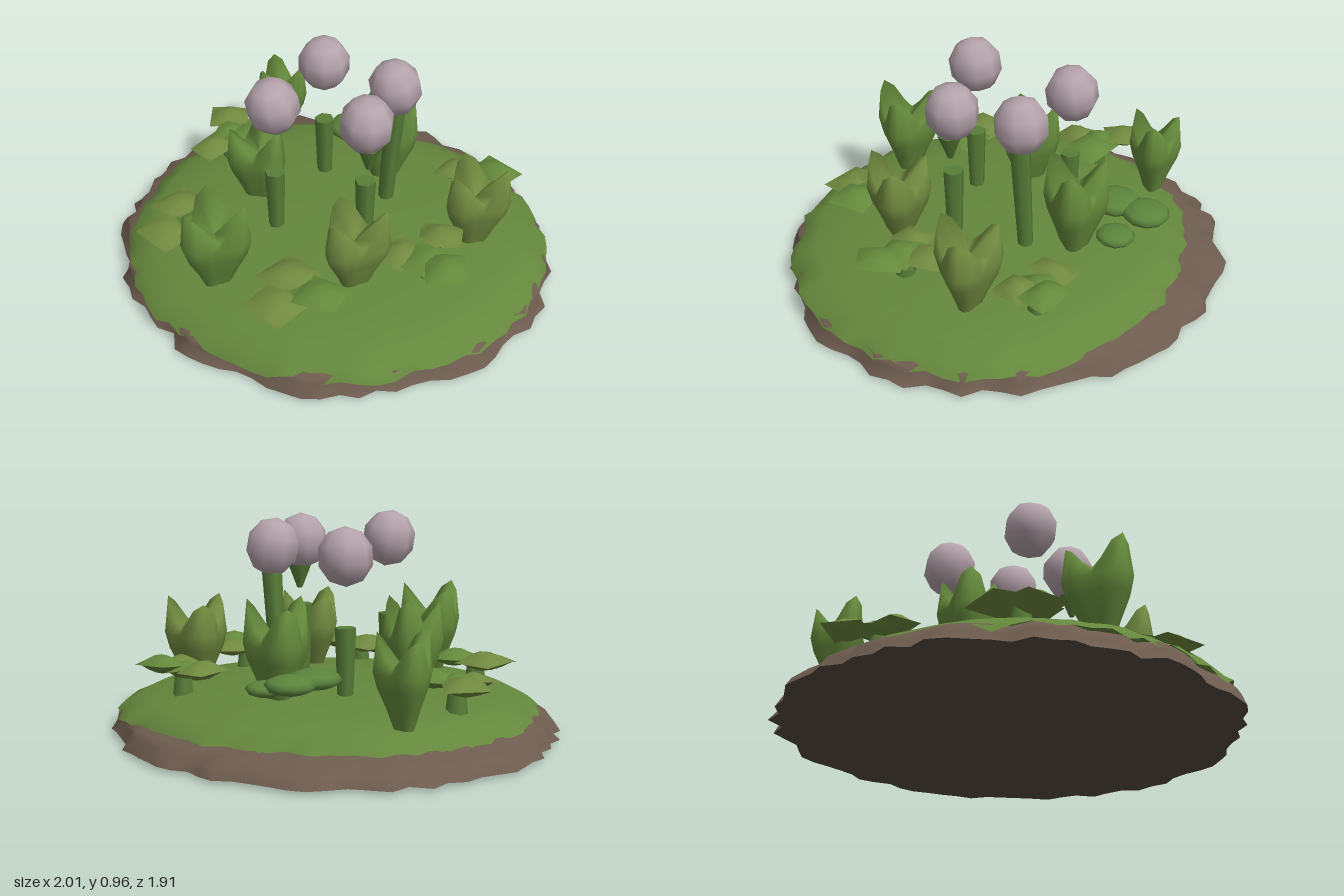
import * as THREE from 'three';

const mat = (color) => new THREE.MeshStandardMaterial({ color, side: THREE.DoubleSide });
const grassMat = mat(0x64873c);
const soilMat = mat(0x6e5c4f);
const underMat = mat(0x574b41);
const leafMat = mat(0x64893b);
const paleLeafMat = mat(0x70893f);
const padMat = mat(0x5c853c);
const stemMat = mat(0x587e38);
const bloomMat = mat(0xb5a3ab);

const hash = (i) => { const s = Math.sin(i * 127.1 + 3.7) * 43758.5453; return s - Math.floor(s); };

function add(parent, name, geometry, material, x = 0, y = 0, z = 0) {
  const mesh = new THREE.Mesh(geometry, material);
  mesh.name = name;
  mesh.position.set(x, y, z);
  parent.add(mesh);
  return mesh;
}

// Skin over closed rings; point(row, angle, index) gives [x, y, z]
function loft(rows, n, point) {
  const pos = [], index = [];
  for (let i = 0; i < rows; i++) {
    for (let j = 0; j < n; j++) pos.push(...point(i, (j / n) * Math.PI * 2, j));
  }
  for (let i = 0; i < rows - 1; i++) {
    for (let j = 0; j < n; j++) {
      const a = i * n + j, b = i * n + (j + 1) % n;
      index.push(a, a + n, b, b, a + n, b + n);
    }
  }
  const g = new THREE.BufferGeometry();
  g.setAttribute('position', new THREE.Float32BufferAttribute(pos, 3));
  g.setIndex(index);
  g.computeVertexNormals();
  return g;
}

// Round mound: dark underside, ragged soil rim, domed grass with a torn edge
function makeMound() {
  const mound = new THREE.Group();
  mound.name = 'mound';
  const n = 80;
  const outline = (a, j) => 0.958 + 0.032 * Math.cos(2 * a)
    + 0.03 * Math.max(0, Math.cos(a + 2.4)) ** 4 + (hash(j) - 0.5) * 0.06;
  const edge = (a, j) => 0.955 + 0.02 * Math.cos(2 * a)
    - 0.12 * Math.max(0, Math.cos(a + 2.05)) ** 2
    - 0.05 * Math.max(0, Math.cos(a - 2.9)) ** 4 - 0.03 * hash(j + 200);
  const ring = (r, y, a) => [r * Math.cos(a), y, r * Math.sin(a)];

  add(mound, 'underside', loft(2, n, (i, a, j) => ring(i ? outline(a, j) : 0, i ? 0.012 : 0, a)), underMat);
  add(mound, 'soilRim', loft(4, n, (i, a, j) => {
    const r = outline(a, j);
    if (i === 0) return ring(r, 0.012, a);
    if (i === 1) return ring(r - 0.02 - 0.025 * hash(j + 90), 0.045 + 0.025 * hash(j + 50), a);
    if (i === 2) return ring(Math.min(r - 0.035, edge(a, j) + 0.02), 0.09, a);
    return ring(edge(a, j) - 0.1, 0.12, a);
  }), soilMat);
  const dome = [[1.005, 0.075], [0.965, 0.12], [0.87, 0.16], [0.7, 0.19], [0.45, 0.212], [0.2, 0.222], [0, 0.225]];
  add(mound, 'grass', loft(dome.length, n, (i, a, j) => {
    const [f, y] = dome[i];
    const ragged = i === 0 ? 0.055 * (hash(j + 300) - 0.5) : 0;
    return ring(f * edge(a, i < 2 ? j : 0), y + ragged, a);
  }), grassMat);
  return mound;
}

// Three broad pointed leaves fused into a cup with a shallow sunken middle
function makeCup(r, turn, h) {
  const rows = [[0.36, 0], [0.58, 0.2], [0.88, 0.42], [1, 0.58], [0.88, 0.66], [0, 0.6]];
  return loft(rows.length, 18, (i, a) => {
    const corner = 0.5 + 0.5 * Math.cos(3 * a);
    const [f, y] = rows[i];
    const rise = i === 4 ? 0.32 * corner * (1 + 0.12 * Math.cos(a + 1)) : 0;
    const rad = r * f * (0.7 + 0.3 * corner);
    return [rad * Math.cos(a + turn), (y + rise) * h, rad * Math.sin(a + turn)];
  });
}

// Square leaf: thick in the middle, pinched to a thin edge
function pillow(w, d, t) {
  const g = new THREE.BoxGeometry(w, 1, d, 4, 1, 4);
  const p = g.attributes.position;
  for (let i = 0; i < p.count; i++) {
    const u = (2 * p.getX(i)) / w, v = (2 * p.getZ(i)) / d;
    p.setY(i, Math.sign(p.getY(i)) * t * (1 - u * u) * (1 - v * v) + 0.006 * u * v);
  }
  g.computeVertexNormals();
  return g;
}

export function createModel() {
  const model = new THREE.Group();
  model.name = 'flowerPatch';
  model.add(makeMound());

  // Upright leaf cups: x, z, radius, turn, tip height
  const q = Math.PI / 2;
  const cups = [
    [-0.67, -0.33, 0.13, q, 0.55, leafMat], [-0.03, -0.37, 0.155, q, 0.62, leafMat],
    [0.56, -0.29, 0.155, q, 0.57, paleLeafMat], [-0.33, 0.14, 0.145, 0, 0.6, leafMat],
    [0.38, 0.28, 0.155, q - 0.15, 0.56, paleLeafMat], [-0.05, 0.66, 0.16, q, 0.59, leafMat],
  ];
  cups.forEach(([x, z, r, turn, tip, material]) => {
    add(model, 'leafCup', makeCup(r, turn, tip - 0.17), material, x, 0.17, z);
  });

  // Low leaf clusters: each leaf is x, y, z, width, depth, turn
  const clusters = [
    [[-0.445, 0.285, 0.515, 0.18, 0.2, 0], [-0.285, 0.285, 0.515, 0.17, 0.2, 0], [-0.37, 0.255, 0.655, 0.2, 0.19, 0]],
    [[0.235, 0.285, 0.515, 0.19, 0.2, 0], [0.42, 0.285, 0.515, 0.19, 0.18, 0.3], [0.305, 0.255, 0.65, 0.2, 0.2, 0]],
    [[0.285, 0.3, -0.51, 0.14, 0.18, 0.1], [0.445, 0.32, -0.6, 0.19, 0.14, 0],
      [0.47, 0.3, -0.47, 0.15, 0.15, 0], [0.38, 0.29, -0.52, 0.14, 0.16, 0.6]],
    [[-0.77, 0.31, -0.08, 0.18, 0.17, 0.75], [-0.575, 0.31, -0.03, 0.21, 0.19, 0],
      [-0.665, 0.285, 0.12, 0.14, 0.17, 0], [-0.67, 0.3, 0.0, 0.15, 0.15, 0.4]],
    [[0.55, 0.31, -0.08, 0.18, 0.17, 0.6], [0.7, 0.31, 0.07, 0.17, 0.19, 0.7],
      [0.485, 0.285, 0.1, 0.14, 0.17, 0], [0.6, 0.29, 0.06, 0.17, 0.18, 0.2]],
  ];
  clusters.forEach((leaves) => {
    const cluster = new THREE.Group();
    cluster.name = 'lowLeafCluster';
    let sx = 0, sz = 0;
    leaves.forEach(([x, y, z, w, d, turn], i) => {
      const leaf = add(cluster, 'lowLeaf', pillow(w, d, 0.042), i % 2 ? leafMat : paleLeafMat, x, y, z);
      leaf.rotation.set(0.08 * (i - 1), turn, 0.08 * (1 - i));
      sx += x / leaves.length;
      sz += z / leaves.length;
    });
    add(cluster, 'leafStem', new THREE.CylinderGeometry(0.035, 0.05, 0.13, 6), stemMat, sx, 0.215, sz);
    model.add(cluster);
  });

  // Rounded pads at the back, overlapping into one waisted shape
  const pads = [[-0.28, 0.325, -0.565, 0.105], [-0.27, 0.325, -0.41, 0.11], [-0.11, 0.28, -0.53, 0.085]];
  pads.forEach(([x, y, z, r]) => {
    add(model, 'roundPad', new THREE.SphereGeometry(r, 10, 6), padMat, x, y, z).scale.y = 0.38;
  });

  // Round blooms with stems: x, y, z, top of the stem
  const blooms = [
    [-0.23, 0.795, -0.18, 0.5], [0.15, 0.815, -0.22, 0.72], [0.25, 0.815, 0.07, 0.53], [-0.1, 0.835, 0.26, 0.5],
  ];
  blooms.forEach(([x, y, z, top], i) => {
    const flower = new THREE.Group();
    flower.name = 'flower';
    const head = add(flower, 'bloom', new THREE.SphereGeometry(0.118, 8, 5), bloomMat, x, y, z);
    head.scale.y = 1.06;
    head.rotation.set(0.1, 0.5 * i, 0.12 * (i % 2 ? 1 : -1));
    const h = top - 0.2;
    const stem = add(flower, 'stem', new THREE.CylinderGeometry(0.045, 0.034, h, 6), stemMat, x, 0.2 + h / 2, z);
    if (i === 1) { stem.position.x -= 0.015; stem.rotation.z = -0.08; }
    if (i === 2) add(flower, 'calyx', new THREE.CylinderGeometry(0.055, 0.012, 0.11, 6), stemMat, x + 0.015, 0.655, z);
    model.add(flower);
  });

  return model;
}
